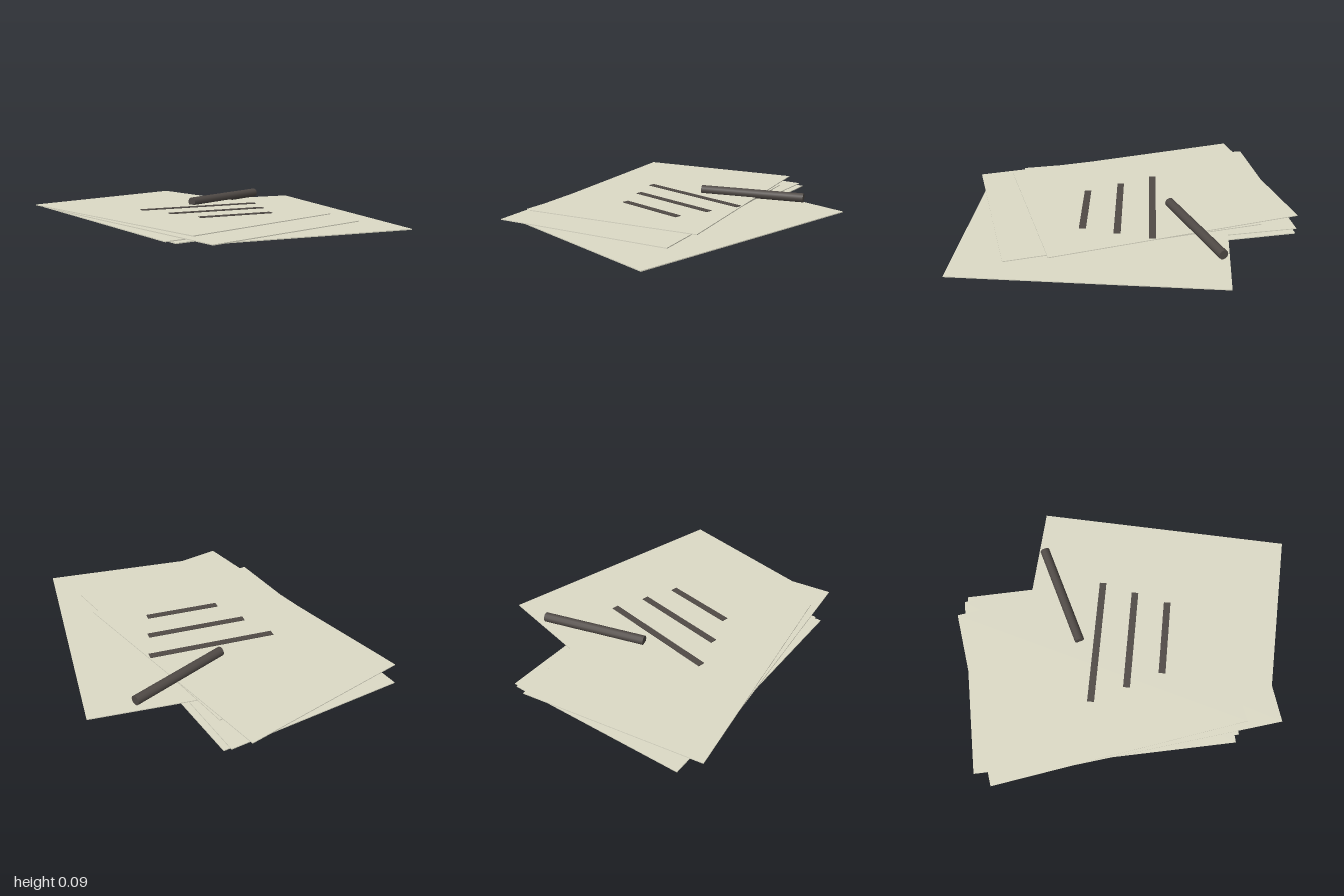
import * as THREE from 'three';

export function createModel() {
  const model = new THREE.Group();
  model.name = 'paperStack';

  const makeMaterial = (name, color) => {
    const material = new THREE.MeshStandardMaterial({ color });
    material.name = name;
    return material;
  };
  const paper = makeMaterial('paper', 0xdcdac6);
  const paperBack = makeMaterial('paperBack', 0x8e8d7f);
  const ink = makeMaterial('darkInk', 0x504a46);

  const add = (name, geometry, material, x, y, z, turn) => {
    const mesh = new THREE.Mesh(geometry, material);
    mesh.name = name;
    mesh.position.set(x, y, z);
    mesh.rotation.y = turn;
    model.add(mesh);
  };

  // Loose sheets with darker undersides, bottom to top: x, z, turn
  const sheet = new THREE.BoxGeometry(1.046, 0.005, 1.485);
  const sheetSides = [paper, paper, paper, paperBack, paper, paper];
  [
    [-0.15, -0.173, 0.075],
    [-0.19, -0.193, 0.067],
    [0.19, 0.17, -0.187],
    [-0.158, 0.042, 0.155],
    [-0.182, -0.173, 0.197],
  ].forEach(([x, z, turn], i) => add(`sheet${i + 1}`, sheet, sheetSides, x, 0.0025 + i * 0.0095, z, turn));

  // Written lines on the top sheet, each shorter than the last
  for (let i = 0; i < 3; i++) {
    const line = new THREE.BoxGeometry(0.745 - i * 0.15, 0.004, 0.04);
    add(`writtenLine${i + 1}`, line, ink, -0.02, 0.0447, -0.178 + i * 0.2, -0.14);
  }

  // Pen lying across the sheets
  const pen = new THREE.CylinderGeometry(0.028, 0.028, 0.63, 12).rotateZ(Math.PI / 2);
  add('pen', pen, ink, 0.28, 0.0605, -0.377, 0.314);

  return model;
}
